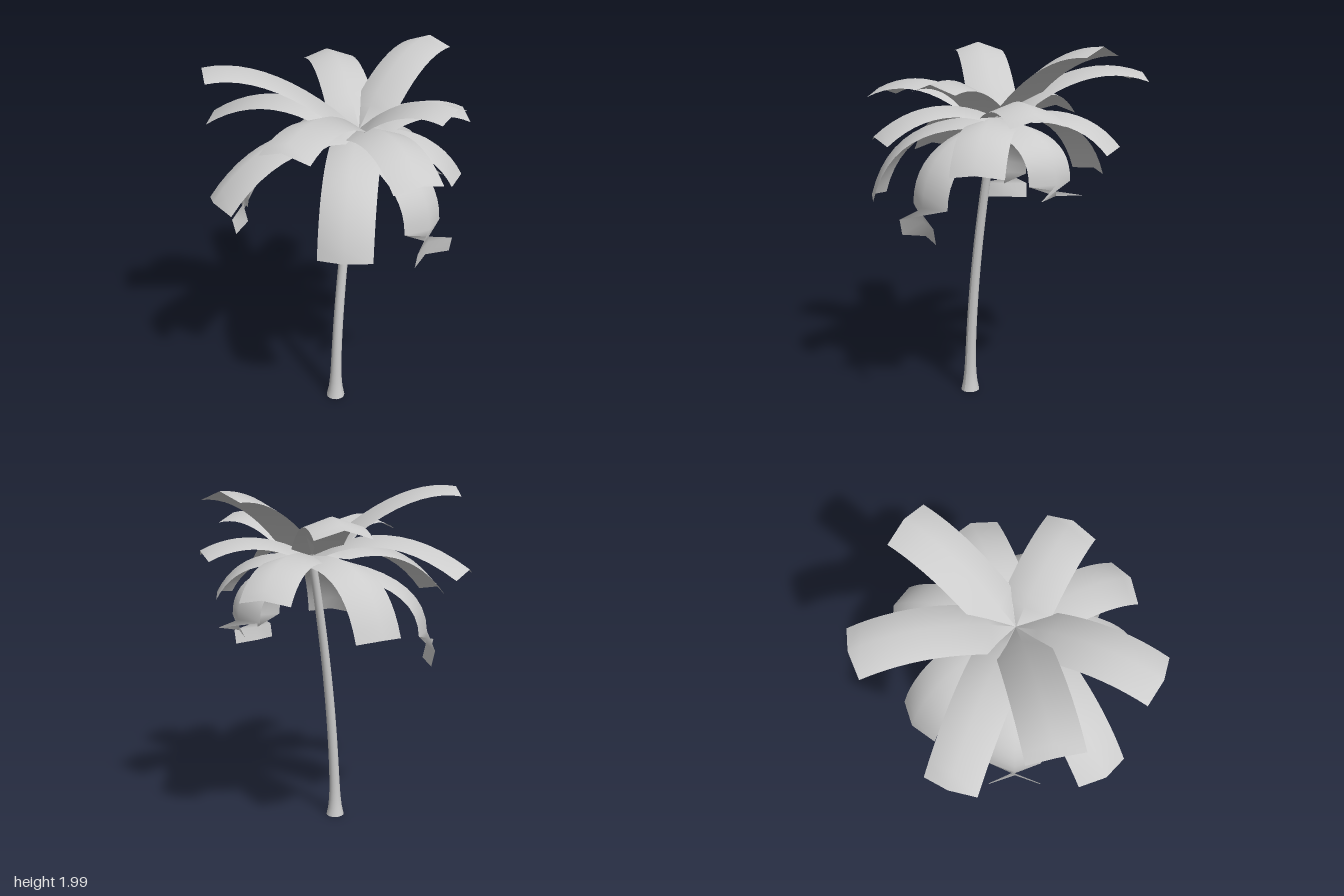
import * as THREE from 'three';

const CROWN = new THREE.Vector3(0.07, 1.615, 0.115);
const HALF_WIDTH = 0.137;
const FOLD = 0.047; // how far the leaf edges sit below the midrib
const ROWS = 11;

// Each frond: tip x, tip z, tip height, bend reach (fraction of length), bend height
const FRONDS = [
  // upright fronds
  [0.72, 0.12, 1.992, 0.5, 2.0],
  [-0.525, -0.415, 1.98, 0.57, 2.04],
  [0.57, -0.523, 1.84, 0.52, 1.98],
  [0.12, 0.672, 1.82, 0.5, 1.89],
  [-0.69, 0.25, 1.74, 0.52, 1.91],
  [-0.155, -0.742, 1.6, 0.5, 1.89],
  // spreading fronds
  [0.585, 0.437, 1.67, 0.54, 1.81],
  [-0.235, 0.715, 1.55, 0.57, 1.79],
  [0.69, -0.11, 1.49, 0.68, 1.75],
  [-0.708, -0.2, 1.375, 0.62, 1.77],
  // drooping fronds
  [0.33, 0.6, 1.4, 0.72, 1.68],
  [0.27, -0.53, 1.28, 0.78, 1.72],
  [-0.525, 0.48, 1.18, 0.82, 1.65],
  // fronds whose tips hang past vertical and twist over
  [0.53, 0.22, 1.268, 1.09, 1.61],
  [0.005, 0.605, 1.055, 1.22, 1.52],
  [-0.285, -0.388, 1.055, 1.22, 1.54],
];

// Folded leaf strip swept along an arching midrib
function frondGeometry([x, z, y, reach, bendY]) {
  const tip = new THREE.Vector3(x, y, z);
  const bend = CROWN.clone().lerp(tip, reach).setY(bendY);
  const midrib = new THREE.QuadraticBezierCurve3(CROWN, bend, tip);
  const up = new THREE.Vector3(0, 1, 0);
  const positions = [], index = [];

  for (let i = 0; i <= ROWS; i++) {
    // the first row is the narrow stem, the next is already full width
    const t = i === 0 ? 0 : 0.15 + 0.85 * (i - 1) / (ROWS - 1);
    const open = i === 0 ? 0.03 : 1;
    const p = midrib.getPoint(t);
    const tangent = midrib.getTangent(t);
    const side = tangent.clone().cross(up).normalize();
    const normal = side.clone().cross(tangent).normalize();
    for (const s of [-1, 0, 1]) {
      const v = p.clone()
        .addScaledVector(side, s * HALF_WIDTH * open)
        .addScaledVector(normal, -Math.abs(s) * FOLD * open);
      positions.push(v.x, v.y, v.z);
    }
  }
  for (let i = 0; i < ROWS; i++) {
    for (let j = 0; j < 2; j++) {
      const a = i * 3 + j, b = a + 3;
      index.push(a, a + 1, b, a + 1, b + 1, b);
    }
  }
  const geometry = new THREE.BufferGeometry();
  geometry.setAttribute('position', new THREE.Float32BufferAttribute(positions, 3));
  geometry.setIndex(index);
  geometry.computeVertexNormals();
  return geometry;
}

// Slender hollow trunk with a flared foot, leaning further as it rises
function trunkGeometry() {
  const height = CROWN.y + 0.01;
  const geometry = new THREE.CylinderGeometry(1, 1, height, 16, 32, true);
  const pos = geometry.attributes.position;
  for (let i = 0; i < pos.count; i++) {
    // rounding can put the foot a hair below zero, so clamp it
    const y = Math.max(0, pos.getY(i) + height / 2);
    const k = y / height;
    const radius = 0.031 - 0.009 * k + 0.022 * Math.exp(-y / 0.08);
    const lean = -0.132 + 0.202 * Math.pow(k, 1.8);
    pos.setXYZ(i, pos.getX(i) * radius + lean, y, pos.getZ(i) * radius + 0.12);
  }
  geometry.computeVertexNormals();
  return geometry;
}

export function createModel() {
  const grey = new THREE.MeshStandardMaterial({ color: 0xcccccc, side: THREE.DoubleSide });
  grey.name = 'light grey';

  const model = new THREE.Group();
  model.name = 'palmTree';

  const trunk = new THREE.Mesh(trunkGeometry(), grey);
  trunk.name = 'trunk';
  model.add(trunk);

  const crown = new THREE.Group();
  crown.name = 'crown';
  FRONDS.forEach((spec, i) => {
    const frond = new THREE.Mesh(frondGeometry(spec), grey);
    frond.name = `frond${i + 1}`;
    crown.add(frond);
  });
  model.add(crown);

  return model;
}
